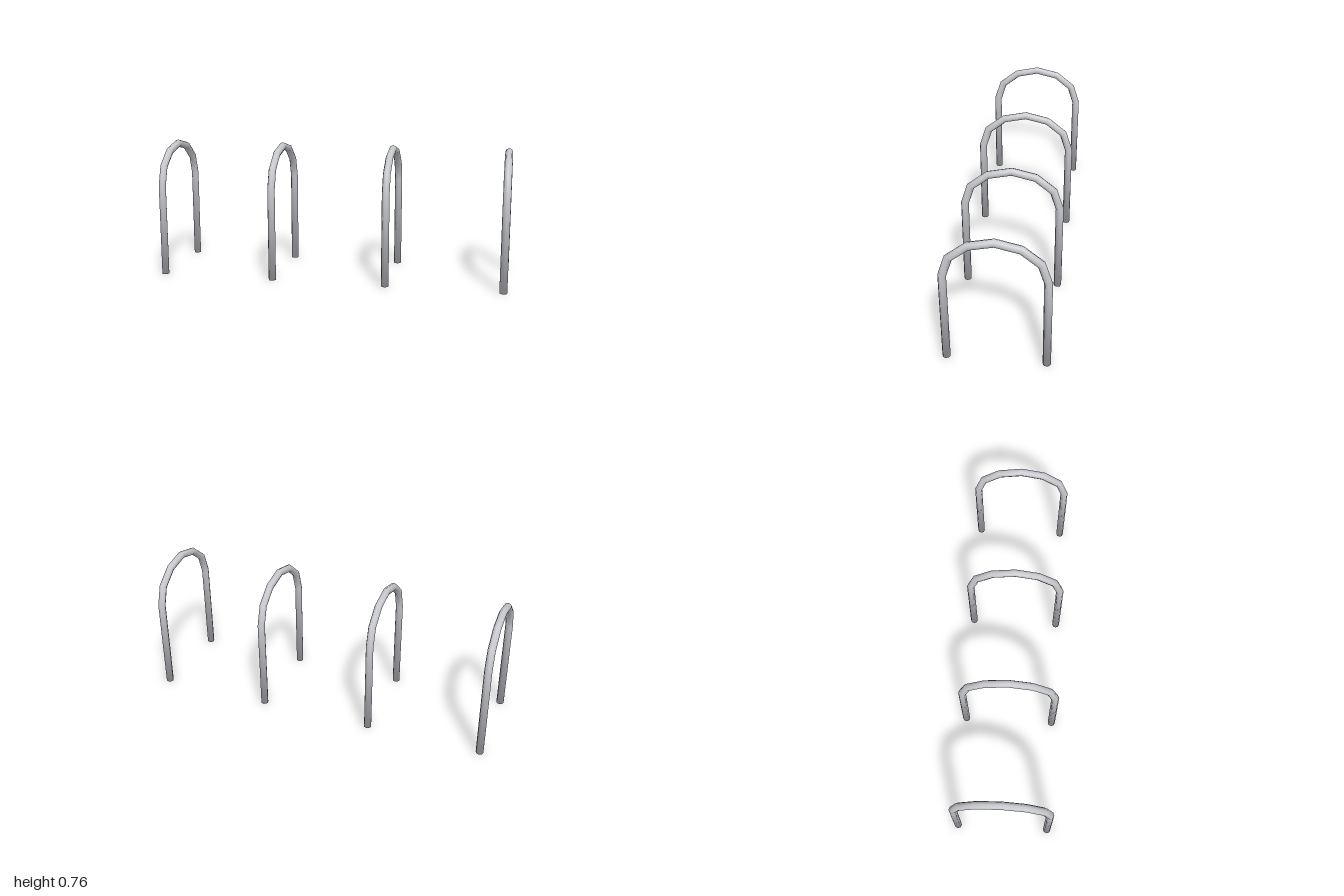
import * as THREE from 'three';

const RADIUS = 0.0215;
const SIDES = 8;

// Bent tube with mitred joints; path points are [z, y] in the plane of the arch
function tubeGeometry(path) {
  const pts = path.map(([z, y]) => new THREE.Vector2(z, y));
  const last = pts.length - 1;
  const pos = [], nor = [], idx = [];
  const across = new THREE.Vector3(1, 0, 0);
  const add = (p, n) => {
    pos.push(p.x, p.y, p.z);
    nor.push(n.x, n.y, n.z);
  };

  // One ring of corners per path point
  pts.forEach((p, i) => {
    const before = pts[i].clone().sub(pts[Math.max(i - 1, 0)]).normalize();
    const after = pts[Math.min(i + 1, last)].clone().sub(pts[i]).normalize();
    const t = before.clone().add(after).normalize();
    const stretch = i === 0 || i === last ? 1 : 1 / t.dot(after);
    const out = new THREE.Vector3(0, -t.x, t.y);
    const centre = new THREE.Vector3(0, p.y, p.x);
    for (let j = 0; j < SIDES; j++) {
      const a = (j / SIDES) * Math.PI * 2;
      const point = centre.clone()
        .addScaledVector(out, RADIUS * stretch * Math.cos(a))
        .addScaledVector(across, RADIUS * Math.sin(a));
      const normal = out.clone().multiplyScalar(Math.cos(a)).addScaledVector(across, Math.sin(a));
      // Feet are shaded smoothly into their end caps
      if (i === 0 || i === last) normal.y -= 0.8;
      add(point, normal.normalize());
    }
  });

  // Walls between the rings
  for (let i = 0; i < last; i++) {
    for (let j = 0; j < SIDES; j++) {
      const k = (j + 1) % SIDES;
      const a = i * SIDES + j, b = i * SIDES + k;
      idx.push(a, b, a + SIDES, b, b + SIDES, a + SIDES);
    }
  }

  // End caps
  for (const i of [0, last]) {
    const c = pos.length / 3;
    add(new THREE.Vector3(0, pts[i].y, pts[i].x), new THREE.Vector3(0, -1, 0));
    for (let j = 0; j < SIDES; j++) {
      const a = i * SIDES + j, b = i * SIDES + ((j + 1) % SIDES);
      if (i === 0) idx.push(c, b, a);
      else idx.push(c, a, b);
    }
  }

  const g = new THREE.BufferGeometry();
  g.setAttribute('position', new THREE.Float32BufferAttribute(pos, 3));
  g.setAttribute('normal', new THREE.Float32BufferAttribute(nor, 3));
  g.setIndex(idx);
  return g;
}

export function createModel() {
  const group = new THREE.Group();
  group.name = 'hoopRow';

  const steel = new THREE.MeshStandardMaterial({ color: 0xc8cacf });
  steel.name = 'light grey steel';

  // Half of the hoop, mirrored front to back over the crown
  const half = [[0.261, 0], [0.261, 0.524], [0.2265, 0.632], [0.13, 0.71]];
  const path = [...half, [0, 0.7395], ...half.map(([z, y]) => [-z, y]).reverse()];
  const geometry = tubeGeometry(path);

  // Four evenly spaced hoops
  for (let i = 0; i < 4; i++) {
    const hoop = new THREE.Mesh(geometry, steel);
    hoop.name = `hoop${i + 1}`;
    hoop.position.x = (i - 1.5) * 0.652;
    group.add(hoop);
  }
  return group;
}
